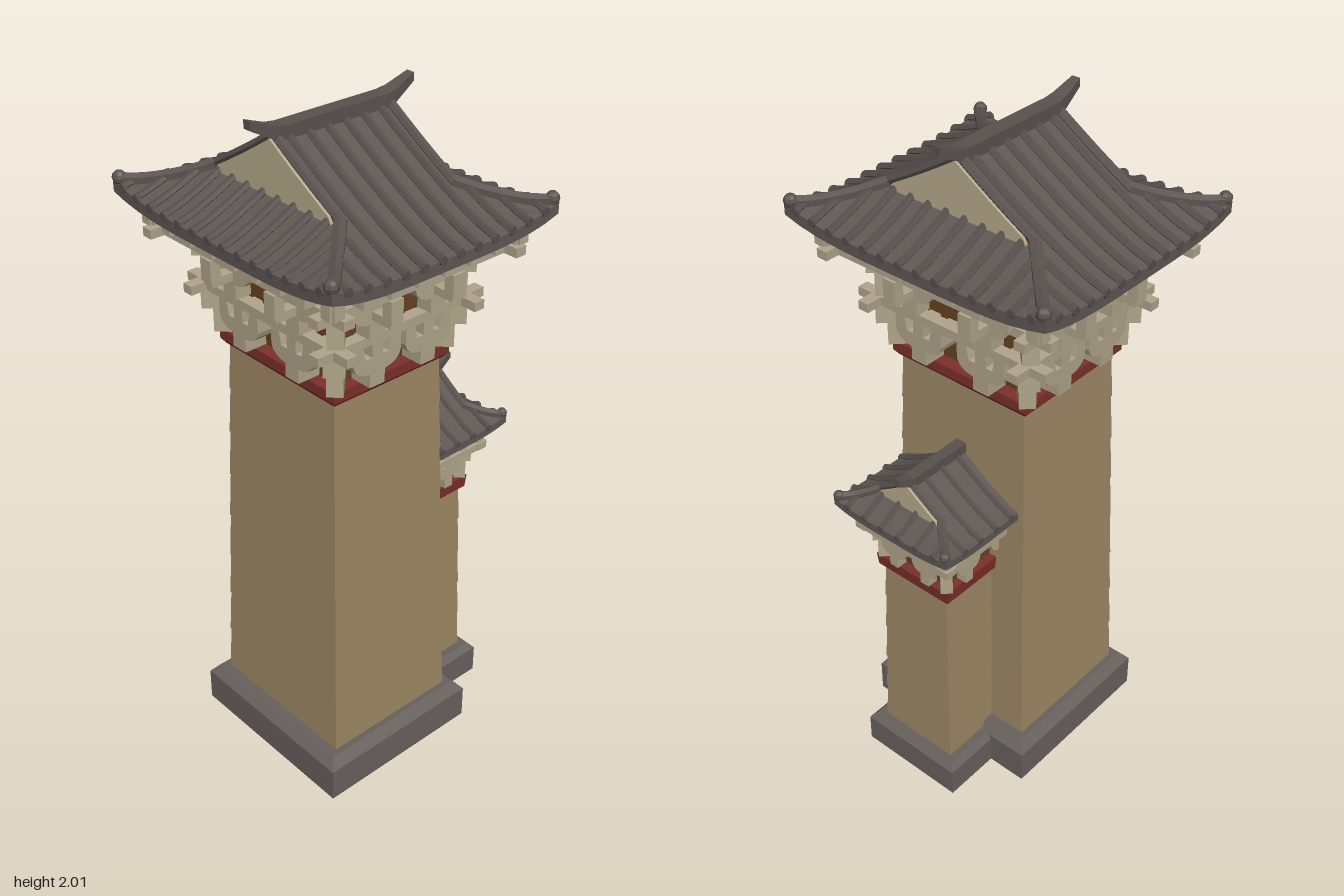
import * as THREE from 'three';

const mat = (name, color, side = THREE.FrontSide) => {
  const m = new THREE.MeshStandardMaterial({ color, side, flatShading: true });
  m.name = name;
  return m;
};
const M = {
  stone: mat('grey base stone', 0x68615e),
  wall: mat('tan masonry', 0x9c8763),
  red: mat('red band', 0x7c2f2a),
  wood: mat('brown core', 0x68421f),
  cream: mat('pale brackets', 0xb0a58b),
  gable: mat('gable plaster', 0xb8ab8c),
  tile: mat('roof tile', 0x5e5754, THREE.DoubleSide),
  ridge: mat('ridge tile', 0x59524f, THREE.DoubleSide),
  rib: mat('tile ribs', 0x544e4b, THREE.DoubleSide),
};

function add(parent, name, geo, material, x = 0, y = 0, z = 0) {
  const m = new THREE.Mesh(geo, material);
  m.name = name;
  m.position.set(x, y, z);
  parent.add(m);
  return m;
}
function group(parent, name, turn = 0) {
  const g = new THREE.Group();
  g.name = name;
  g.rotation.y = turn;
  parent.add(g);
  return g;
}
const box = (p, name, m, w, h, d, x, y, z) => add(p, name, new THREE.BoxGeometry(w, h, d), m, x, y, z);

// Block with half sizes a,b at the bottom (y0) and c,d at the top (y1)
function frustum(p, name, m, y0, y1, a, b, c, d) {
  const g = new THREE.BoxGeometry(2, y1 - y0, 2), v = g.attributes.position;
  for (let i = 0; i < v.count; i++) {
    const top = v.getY(i) > 0;
    v.setX(i, v.getX(i) * (top ? c : a));
    v.setZ(i, v.getZ(i) * (top ? d : b));
  }
  g.computeVertexNormals();
  return add(p, name, g, m, 0, (y0 + y1) / 2, 0);
}

// Tapered shaft in courses, each with a hairline ledge
function shaft(p, y0, y1, bottom, top, n) {
  const at = (k, i) => THREE.MathUtils.lerp(bottom[i], top[i], k / n);
  for (let k = 0; k < n; k++) {
    const h = (y1 - y0) / n;
    frustum(p, 'wallCourse', M.wall, y0 + k * h, y0 + (k + 1) * h,
      at(k, 0), at(k, 1), at(k + 1, 0) - 0.002, at(k + 1, 1) - 0.002);
  }
}

// Bracket: post opening into two curved arms with a tongue between
function bracketGeometry(w, h, depth) {
  const s = new THREE.Shape(), p = w * 0.32;
  s.moveTo(-p, 0);
  s.lineTo(p, 0);
  s.lineTo(p, h * 0.32);
  s.quadraticCurveTo(w * 0.95, h * 0.36, w, h * 0.62);
  s.lineTo(w, h);
  s.lineTo(w * 0.6, h);
  s.lineTo(w * 0.5, h * 0.68);
  s.lineTo(w * 0.22, h * 0.68);
  s.lineTo(w * 0.22, h);
  s.lineTo(-w * 0.22, h);
  s.lineTo(-w * 0.22, h * 0.68);
  s.lineTo(-w * 0.5, h * 0.68);
  s.lineTo(-w * 0.6, h);
  s.lineTo(-w, h);
  s.lineTo(-w, h * 0.62);
  s.quadraticCurveTo(-w * 0.95, h * 0.36, -p, h * 0.32);
  return new THREE.ExtrudeGeometry(s, { depth, bevelEnabled: false, curveSegments: 4 });
}

// One storey of brackets around a core, closed by crossing beams
function tier(p, { y0, h, hx, hz, depth, w, beamOut, beamOver, beamH, arm = 0 }) {
  const g = group(p, 'bracketTier');
  box(g, 'core', M.wood, hx * 2, h + beamH, hz * 2, 0, y0 + (h + beamH) / 2, 0);
  for (let k = 0; k < 4; k++) {
    const side = group(g, 'bracketSide', k * Math.PI / 2);
    const out = k % 2 ? hx : hz, along = k % 2 ? hz : hx;
    for (const s of [-1, 1]) {
      const x = s * along * 0.54;
      add(side, 'bracket', bracketGeometry(w, h, depth), M.cream, x, y0, out);
      if (arm) {
        // Stepped arm reaching out to the upper beam
        box(side, 'armFoot', M.cream, 0.035, 0.024, arm, x, y0 + h * 0.5, out + arm / 2);
        box(side, 'armTip', M.cream, 0.04, h * 0.5, 0.032, x, y0 + h * 0.75, out + arm - 0.01);
      }
    }
    box(side, 'beam', M.cream, 2 * (along + beamOver), beamH, 0.034, 0, y0 + h + beamH / 2, out + beamOut);
    // Diagonal corner bracket
    const c = group(side, 'cornerBracket', Math.atan2(1, 1));
    c.position.set(along, 0, out);
    box(c, 'cornerPost', M.cream, 0.3 * w + 0.02, h * 0.6, depth, 0, y0 + h * 0.3, depth * 0.42);
    box(c, 'cornerArm', M.cream, w * 0.7, h * 0.42, depth * 1.5, 0, y0 + h * 0.79, depth * 0.6);
  }
}

// Row of small blocks carrying the eaves
function eaveBlocks(p, y, h, ox, oz, size, nx, nz) {
  for (let k = 0; k < 4; k++) {
    const side = group(p, 'eaveBlocks', k * Math.PI / 2);
    const out = k % 2 ? ox : oz, along = k % 2 ? oz : ox, n = k % 2 ? nz : nx;
    for (let i = 0; i < n; i++)
      box(side, 'eaveBlock', M.cream, size, h, size * 1.5, along * (2 * i / (n - 1) - 1), y + h / 2, out);
  }
}

// Hip-and-gable roof; X,Z eave half sizes, gx,gz the upper gabled part
function roof(p, { X, Z, gx, gz, top, eave, soffit, lift, thick, r, step, ridgeW, ridgeH, tip }) {
  const g = group(p, 'roof');
  const height = z => eave + (top - eave) * Math.pow(Math.max(0, (Z - z) / Z), 1.25);
  for (let k = 0; k < 4; k++) {
    const front = k % 2 === 0, face = group(g, 'roofFace', k * Math.PI / 2);
    const [in0, D, w0, W] = front ? [gz, Z, gx, X] : [gx, X, gz, Z];
    const width = out => w0 + (W - w0) * Math.max(0, (out - in0) / (D - in0));
    const surf = (out, a) => {
      const t = Math.max(0, (out - in0) / (D - in0));
      const base = front ? height(out) : height(gz + (Z - gz) * t);
      return new THREE.Vector3(a, base + lift * t * t * Math.pow(Math.abs(a) / width(out), 4), out);
    };
    // Tiled surface, eave edge and soffit as one folded grid
    const outs = [];
    if (front) for (let i = 0; i < 4; i++) outs.push(gz * i / 4);
    for (let i = 0; i <= 4; i++) outs.push(in0 + (D - in0) * i / 4);
    const cols = 16, pos = [], idx = [];
    const row = fn => { for (let j = 0; j <= cols; j++) pos.push(...fn(2 * j / cols - 1).toArray()); };
    outs.forEach(o => row(s => surf(o, s * width(o))));
    row(s => surf(D, s * W).add(new THREE.Vector3(0, -thick, 0)));
    row(s => new THREE.Vector3(s * W * 0.55, soffit, D * 0.55));
    const rows = outs.length + 2, n = cols + 1;
    for (let i = 0; i < rows - 1; i++) for (let j = 0; j < cols; j++) {
      const a = i * n + j, b = a + n;
      idx.push(a, b, b + 1, a, b + 1, a + 1);
    }
    const geo = new THREE.BufferGeometry();
    geo.setAttribute('position', new THREE.Float32BufferAttribute(pos, 3));
    geo.setIndex(idx);
    geo.computeVertexNormals();
    add(face, 'tiledSlope', geo, M.tile);

    const tube = (name, pts, rad, m, sides = 6) => add(face, name,
      new THREE.TubeGeometry(new THREE.CatmullRomCurve3(pts), 8, rad, sides, false), m);
    // Ribs with round end tiles
    for (let a = step / 2; a < W - r * 2; a += step) for (const s of [-1, 1]) {
      const start = a < w0 ? (front ? 0 : in0) : in0 + (D - in0) * (a - w0) / (W - w0);
      const pts = [];
      for (let i = 0; i <= 6; i++) pts.push(surf(start + (D - start) * i / 6, s * a).add(new THREE.Vector3(0, r * 0.3, 0)));
      tube('tileRib', pts, r, M.rib);
      const cap = add(face, 'ribEnd', new THREE.CylinderGeometry(r * 1.15, r * 1.15, r * 1.2, 8), M.rib, s * a, pts[6].y - r * 0.3, D - r * 0.3);
      cap.rotation.x = Math.PI / 2;
    }
    if (!front) {
      // Gable wall
      const s = new THREE.Shape();
      s.moveTo(-gz * 0.9, height(gz) - 0.005);
      s.lineTo(gz * 0.9, height(gz) - 0.005);
      for (let i = 4; i >= -4; i--) s.lineTo(gz * 0.85 * i / 4, height(gz * 0.85 * Math.abs(i) / 4) - 0.004);
      add(face, 'gableWall', new THREE.ExtrudeGeometry(s, { depth: 0.008, bevelEnabled: false }), M.gable, 0, 0, gx - 0.003);
      continue;
    }
    // Gable edges and hip ridges with pointed ends
    for (const s of [-1, 1]) {
      const edge = [], hip = [];
      for (let i = 0; i <= 5; i++) {
        const o = gz + (Z - gz) * i / 5;
        edge.push(surf(gz * i / 5, s * (gx - r)).add(new THREE.Vector3(0, r * 0.5, 0)));
        hip.push(surf(o, s * (width(o) - r)).add(new THREE.Vector3(0, r * 0.7, -r)));
      }
      tube('gableEdge', edge, r * 1.2, M.ridge);
      tube('hipRidge', hip, r * 1.6, M.ridge);
      add(face, 'hipEnd', new THREE.SphereGeometry(r * 1.8, 8, 6), M.ridge, hip[5].x, hip[5].y + r * 0.4, hip[5].z - r * 0.3);
    }
  }
  // Main ridge with upswept, narrowing ends
  const L = gx + tip, rg = new THREE.BoxGeometry(2 * L, ridgeH, ridgeW, 16, 1, 1), v = rg.attributes.position;
  for (let i = 0; i < v.count; i++) {
    const t = Math.max(0, (Math.abs(v.getX(i)) - gx + 0.01) / (tip + 0.01));
    v.setY(i, v.getY(i) * (1 - 0.35 * t) + t * tip * 0.53);
    v.setZ(i, v.getZ(i) * (1 - 0.45 * t));
  }
  rg.computeVertexNormals();
  add(g, 'mainRidge', rg, M.ridge, 0, top + ridgeH * 0.25, 0);
}

export function createModel() {
  const model = new THREE.Group();
  model.name = 'gateTower';

  // Main tower
  const main = group(model, 'mainTower');
  main.position.x = -0.055;
  frustum(main, 'baseBlock', M.stone, 0, 0.105, 0.27, 0.295, 0.27, 0.295);
  frustum(main, 'baseBevel', M.stone, 0.105, 0.135, 0.27, 0.295, 0.245, 0.27);
  shaft(main, 0.135, 1.3, [0.22, 0.252], [0.188, 0.217], 8);
  frustum(main, 'bandUnderside', M.red, 1.295, 1.31, 0.192, 0.222, 0.203, 0.236);
  frustum(main, 'redBand', M.red, 1.31, 1.34, 0.203, 0.236, 0.203, 0.236);
  tier(main, { y0: 1.34, h: 0.125, hx: 0.165, hz: 0.2, depth: 0.07, w: 0.08,
    beamOut: 0.055, beamOver: 0.122, beamH: 0.026 });
  tier(main, { y0: 1.491, h: 0.129, hx: 0.195, hz: 0.235, depth: 0.05, w: 0.08,
    beamOut: 0.095, beamOver: 0.155, beamH: 0.026, arm: 0.115 });
  box(main, 'eavePlate', M.cream, 0.57, 0.014, 0.64, 0, 1.632, 0);
  box(main, 'upperCore', M.wood, 0.4, 0.07, 0.48, 0, 1.67, 0);
  eaveBlocks(main, 1.645, 0.055, 0.31, 0.355, 0.032, 8, 9);
  roof(main, { X: 0.376, Z: 0.428, gx: 0.195, gz: 0.25, top: 1.95, eave: 1.725, soffit: 1.69,
    lift: 0.032, thick: 0.032, r: 0.011, step: 0.0595, ridgeW: 0.046, ridgeH: 0.036, tip: 0.07 });

  // Attached lower tower
  const small = group(model, 'sideTower');
  small.position.x = 0.2;
  frustum(small, 'baseBlock', M.stone, 0, 0.09, 0.192, 0.172, 0.192, 0.172);
  frustum(small, 'baseBevel', M.stone, 0.09, 0.11, 0.192, 0.172, 0.175, 0.155);
  shaft(small, 0.11, 0.73, [0.155, 0.132], [0.14, 0.118], 5);
  frustum(small, 'redBand', M.red, 0.728, 0.768, 0.15, 0.131, 0.154, 0.134);
  tier(small, { y0: 0.768, h: 0.104, hx: 0.128, hz: 0.108, depth: 0.034, w: 0.046,
    beamOut: 0.045, beamOver: 0.065, beamH: 0.022 });
  box(small, 'upperCore', M.wood, 0.27, 0.06, 0.23, 0, 0.915, 0);
  box(small, 'eavePlate', M.cream, 0.36, 0.014, 0.31, 0, 0.924, 0);
  eaveBlocks(small, 0.89, 0.05, 0.172, 0.148, 0.024, 6, 6);
  roof(small, { X: 0.232, Z: 0.207, gx: 0.152, gz: 0.12, top: 1.085, eave: 0.965, soffit: 0.935,
    lift: 0.016, thick: 0.024, r: 0.0085, step: 0.063, ridgeW: 0.034, ridgeH: 0.03, tip: 0.04 });
  return model;
}
